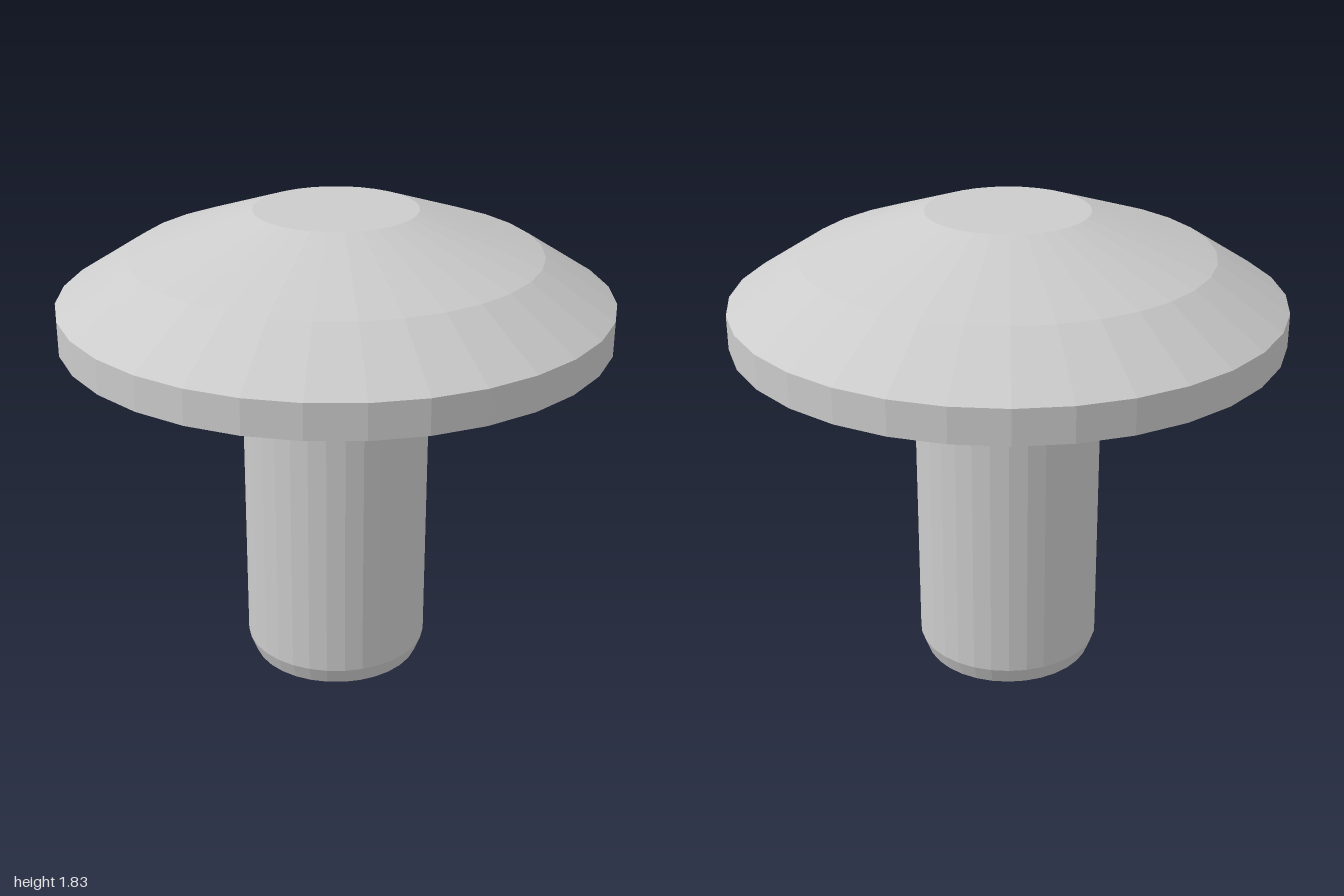
import * as THREE from 'three';

const SIDES = 32;

// Faceted solid of revolution; profile of [radius, height] runs from bottom to top
function turned(name, profile, material) {
  const points = profile.map(([r, y]) => new THREE.Vector2(r, y));
  const mesh = new THREE.Mesh(new THREE.LatheGeometry(points, SIDES), material);
  mesh.name = name;
  return mesh;
}

export function createModel() {
  const group = new THREE.Group();
  group.name = 'domedStud';
  const material = new THREE.MeshStandardMaterial({ color: 0xcccccc, flatShading: true });

  // Shaft with a two-step chamfered tip
  group.add(turned('shaft', [
    [0, 0], [0.185, 0], [0.32, 0.065], [0.345, 0.13], [0.345, 1.28],
  ], material));

  // Head: sloped underside, straight rim, two-slope dome and flat crown
  group.add(turned('head', [
    [0.345, 1.28], [1, 1.38], [1, 1.505], [0.74, 1.67], [0.295, 1.825], [0, 1.825],
  ], material));

  return group;
}
